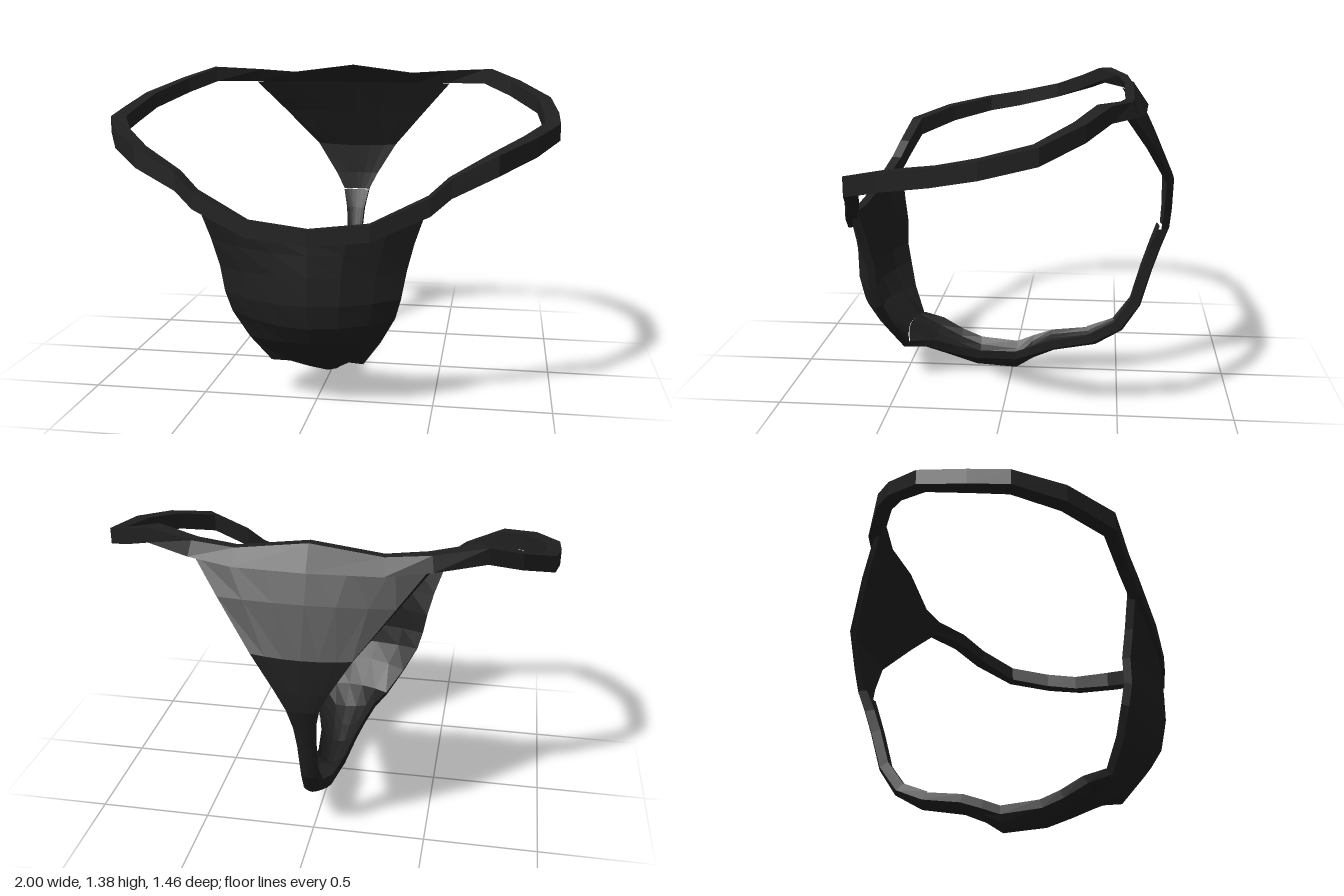
import * as THREE from 'three';

// Skin a list of equal-length point rings with flat facets
function loft(rings, closed) {
  const pos = [];
  const n = rings[0].length;
  const count = closed ? rings.length : rings.length - 1;
  for (let i = 0; i < count; i++) {
    const r = rings[i], s = rings[(i + 1) % rings.length];
    for (let j = 0; j < n; j++) {
      const k = (j + 1) % n;
      for (const p of [r[j], s[j], s[k], r[j], s[k], r[k]]) pos.push(p.x, p.y, p.z);
    }
  }
  const geo = new THREE.BufferGeometry();
  geo.setAttribute('position', new THREE.Float32BufferAttribute(pos, 3));
  geo.computeVertexNormals();
  return geo;
}

// Curved cloth strip; section: centre y, centre z, half width, edge y, edge z
function clothStrip(sections, thickness) {
  const steps = [-1, -0.7, -0.35, 0, 0.35, 0.7, 1];
  const rings = sections.map(([cy, cz, w, ey, ez]) => {
    const inward = new THREE.Vector3(0, 0.7 - cy, -cz).setLength(thickness);
    const outer = steps.map((t) => new THREE.Vector3(
      t * w,
      THREE.MathUtils.lerp(cy, ey, t * t),
      THREE.MathUtils.lerp(cz, ez, t * t)
    ));
    const inner = outer.map((p) => p.clone().add(inward)).reverse();
    return [...outer, ...inner];
  });
  return loft(rings, false);
}

// Closed waistband; point: x, y, z, half height, half thickness, outward lean of lower edge
function waistband(half) {
  const mirrored = half.slice(1, -1).reverse().map(([x, ...rest]) => [-x, ...rest]);
  const path = [...half, ...mirrored];
  const rings = path.map(([x, y, z, h, t, lean], i) => {
    const a = path[(i + path.length - 1) % path.length];
    const b = path[(i + 1) % path.length];
    const out = new THREE.Vector3(a[2] - b[2], 0, b[0] - a[0]).normalize();
    const corner = (o, u) => new THREE.Vector3(x, y + u * h, z).addScaledVector(out, o * t - u * lean);
    return [corner(1, -1), corner(1, 1), corner(-1, 1), corner(-1, -1)];
  });
  return loft(rings, true);
}

export function createModel() {
  const group = new THREE.Group();
  group.name = 'garment';
  const black = new THREE.MeshStandardMaterial({ color: 0x202020 });
  black.name = 'black cloth';

  const add = (name, geometry) => {
    const mesh = new THREE.Mesh(geometry, black);
    mesh.name = name;
    group.add(mesh);
  };

  // Band rising from the front, around the hips to the back
  add('waistband', waistband([
    [0, 0.765, 0.712, 0.033, 0.02, 0],
    [0.25, 0.79, 0.697, 0.035, 0.02, 0],
    [0.48, 0.895, 0.642, 0.038, 0.025, 0],
    [0.56, 0.965, 0.612, 0.04, 0.025, 0],
    [0.73, 1.055, 0.575, 0.042, 0.032, 0],
    [0.87, 1.11, 0.41, 0.04, 0.034, 0],
    [0.965, 1.15, 0.21, 0.036, 0.034, 0],
    [0.965, 1.18, 0.04, 0.036, 0.033, 0],
    [0.94, 1.23, -0.17, 0.036, 0.032, 0],
    [0.81, 1.295, -0.325, 0.035, 0.033, 0],
    [0.68, 1.345, -0.415, 0.034, 0.033, 0],
    [0.48, 1.335, -0.515, 0.03, 0.025, 0.015],
    [0.3, 1.32, -0.545, 0.032, 0.02, 0.025],
    [0, 1.34, -0.555, 0.05, 0.02, 0.035]
  ]));

  const gussetStart = [0.19, 0.52, 0.2, 0.17, 0.49];
  const stringStart = [0.14, -0.4, 0.06, 0.165, -0.38];
  const stringEnd = [0.73, -0.725, 0.065, 0.73, -0.715];

  // Rounded front panel
  add('frontPanel', clothStrip([
    [0.75, 0.715, 0.475, 0.895, 0.65],
    [0.69, 0.717, 0.42, 0.73, 0.625],
    [0.6, 0.72, 0.39, 0.61, 0.605],
    [0.48, 0.72, 0.37, 0.5, 0.605],
    [0.38, 0.7, 0.345, 0.41, 0.585],
    [0.3, 0.65, 0.28, 0.29, 0.55],
    gussetStart
  ], 0.035));

  // Tapering strip under the body, slightly V-shaped
  add('gusset', clothStrip([
    gussetStart,
    [0.11, 0.4, 0.155, 0.155, 0.38],
    [0.06, 0.28, 0.115, 0.11, 0.27],
    [0.02, 0.17, 0.09, 0.08, 0.17],
    [0.005, -0.02, 0.07, 0.07, -0.02],
    [0.06, -0.1, 0.075, 0.1, -0.1],
    [0.105, -0.2, 0.075, 0.135, -0.2],
    stringStart
  ], 0.04));

  // Narrow string climbing the back
  add('backString', clothStrip([
    stringStart,
    [0.215, -0.525, 0.04, 0.225, -0.51],
    [0.34, -0.605, 0.033, 0.345, -0.595],
    [0.52, -0.655, 0.037, 0.52, -0.645],
    [0.63, -0.69, 0.045, 0.63, -0.68],
    stringEnd
  ], 0.045));

  // Triangular back panel
  add('backPanel', clothStrip([
    stringEnd,
    [0.82, -0.732, 0.11, 0.82, -0.722],
    [0.97, -0.732, 0.205, 0.98, -0.722],
    [1.17, -0.645, 0.36, 1.17, -0.62],
    [1.325, -0.57, 0.49, 1.325, -0.52]
  ], 0.03));

  return group;
}
